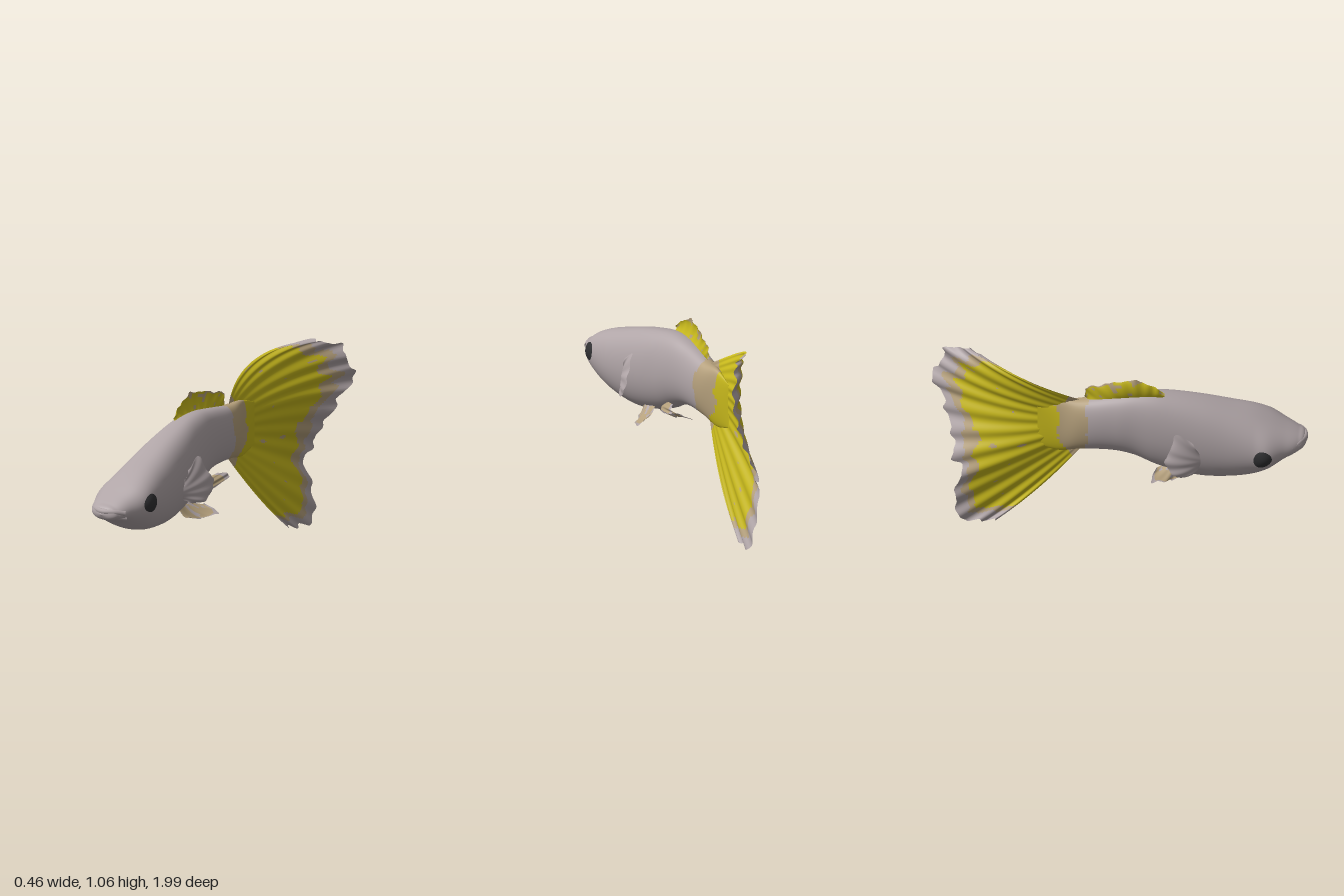
import * as THREE from 'three';
import { mergeVertices } from 'three/addons/utils/BufferGeometryUtils.js';

const paint = (name, color) => {
  const m = new THREE.MeshStandardMaterial({ color, side: THREE.DoubleSide });
  m.name = name;
  return m;
};

// Smooth value noise, 0..1
const hash = (i, j) => { const v = Math.sin(i * 127.1 + j * 311.7) * 43758.5453; return v - Math.floor(v); };
function noise(x, y) {
  const i = Math.floor(x), j = Math.floor(y);
  const f = THREE.MathUtils.smoothstep(x - i, 0, 1), g = THREE.MathUtils.smoothstep(y - j, 0, 1);
  const mix = THREE.MathUtils.lerp;
  return mix(mix(hash(i, j), hash(i + 1, j), f), mix(hash(i, j + 1), hash(i + 1, j + 1), f), g);
}

// Surface from point(u, v); pick(u, v, p) gives the material index of each cell
function surface(name, point, nu, nv, mats, pick = () => 0) {
  const pos = [], cells = mats.map(() => []), w = nv + 1;
  for (let i = 0; i <= nu; i++) for (let j = 0; j <= nv; j++) pos.push(...point(i / nu, j / nv).toArray());
  for (let i = 0; i < nu; i++) for (let j = 0; j < nv; j++) {
    const a = i * w + j, b = a + 1, c = a + w, d = c + 1;
    const u = (i + 0.5) / nu, v = (j + 0.5) / nv;
    cells[pick(u, v, point(u, v))].push(a, b, c, b, d, c);
  }
  let g = new THREE.BufferGeometry();
  g.setAttribute('position', new THREE.Float32BufferAttribute(pos, 3));
  g.setIndex(cells.flat());
  g = mergeVertices(g, 1e-5);
  let start = 0;
  cells.forEach((c, k) => { if (c.length) g.addGroup(start, c.length, k); start += c.length; });
  g.computeVertexNormals();
  const mesh = new THREE.Mesh(g, mats);
  mesh.name = name;
  return mesh;
}

// Body sections: z, centre x, half width, widest y, top y, bottom y, roll
const SECTIONS = [
  [-0.42, -0.055, 0.003, 0.68, 0.80, 0.56, 0],
  [-0.30, -0.05, 0.035, 0.68, 0.845, 0.53, 0],
  [-0.20, -0.05, 0.07, 0.70, 0.85, 0.55, 0],
  [0.00, -0.045, 0.095, 0.71, 0.885, 0.553, 0],
  [0.10, -0.035, 0.108, 0.70, 0.90, 0.525, 0],
  [0.20, -0.025, 0.125, 0.67, 0.90, 0.475, 0],
  [0.30, -0.012, 0.142, 0.65, 0.885, 0.44, 0.02],
  [0.45, 0.005, 0.16, 0.62, 0.85, 0.408, 0.06],
  [0.60, 0.022, 0.172, 0.60, 0.805, 0.413, 0.1],
  [0.72, 0.033, 0.176, 0.60, 0.765, 0.438, 0.14],
  [0.80, 0.035, 0.174, 0.60, 0.73, 0.48, 0.14],
  [0.88, 0.04, 0.135, 0.60, 0.69, 0.53, 0.1],
  [0.95, 0.045, 0.095, 0.60, 0.655, 0.562, 0.06],
  [0.985, 0.05, 0.055, 0.605, 0.635, 0.58, 0.03],
  [1.00, 0.05, 0, 0.607, 0.607, 0.607, 0],
];
const spline = new THREE.CubicInterpolant(SECTIONS.map(s => s[0]), SECTIONS.flatMap(s => s.slice(1)), 6, new Float32Array(6));
function bodyPoint(z, a) {
  const [cx, hw, cy, top, bottom, roll] = spline.evaluate(z);
  const c = Math.cos(a), s = Math.sin(a);
  const dx = hw * Math.sign(c) * Math.abs(c) ** 0.82;
  const dy = s * (s > 0 ? top - cy : cy - bottom);
  return new THREE.Vector3(cx + dx, cy + dy + roll * dx, z);
}

// Fin spread from a base line to a tip line, with bend added midway
const curve = pts => new THREE.CatmullRomCurve3(pts.map(p => new THREE.Vector3(...p)));
function fin(name, base, bend, tip, mats, opt = {}) {
  const { folds = 8, depth = 0.004, ragged = 0.02, thick = 0, ns = 40, nt = 12, pick } = opt;
  const B = curve(base), M = curve(bend), T = curve(tip), group = new THREE.Group();
  group.name = name;
  for (const side of thick ? [1, -1] : [0]) {
    const point = (s, t) => {
      const reach = t * (1 + ragged * t ** 4 * (noise(s * folds * 3, 5) * 2 - 1.4));
      const p = B.getPoint(s).lerp(T.getPoint(s), reach);
      p.addScaledVector(M.getPoint(s), 4 * t * (1 - t));
      p.x += depth * t * Math.sin(s * folds * Math.PI * 2) + side * thick * (1 - t) * Math.sin(Math.PI * s) ** 0.5;
      return p;
    };
    group.add(surface(name + 'Sheet', point, ns, nt, mats, pick));
  }
  return group;
}

export function createModel() {
  const grey = paint('silver grey', 0xb0a5a7), yellow = paint('yellow', 0xc8b91c);
  const tan = paint('tan', 0xb5a07c), dark = paint('eye black', 0x303032);
  const fish = new THREE.Group();
  fish.name = 'fish';

  // Body, with the tail root tinted in ragged bands
  fish.add(surface('body',
    (u, v) => bodyPoint(-0.42 + 1.42 * Math.sin(u * Math.PI / 2), v * Math.PI * 2),
    130, 56, [grey, tan, yellow],
    (u, v, p) => {
      const z = p.z + 0.05 * (noise(p.y * 22, p.x * 9) - 0.5);
      return z > -0.15 ? 0 : z > -0.31 + 0.9 * Math.max(0, 0.62 - p.y) ? 1 : 2;
    }));

  // Eyes: thin discs lying on the head
  [['leftEye', 0.12, 1], ['rightEye', Math.PI + 0.02, -1]].forEach(([name, angle, side]) => {
    fish.add(surface(name, (u, v) => {
      const a = v * Math.PI * 2, r = 0.048 * u;
      const p = bodyPoint(0.775 + r * Math.cos(a), angle + r * Math.sin(a) / 0.135);
      p.x += side * (0.002 + 0.006 * (1 - u * u));
      return p;
    }, 6, 28, [dark]));
  });

  // Lips
  [['upperLip', 0.622, 0.985, 0.015], ['lowerLip', 0.59, 0.972, 0.013]].forEach(([name, y, z, r]) => {
    const path = curve([[-0.055, y - 0.02, z - 0.065], [-0.01, y - 0.004, z - 0.022], [0.05, y, z],
      [0.11, y + 0.002, z - 0.022], [0.15, y - 0.008, z - 0.065]]);
    const lip = new THREE.Mesh(new THREE.TubeGeometry(path, 24, r, 10), grey);
    lip.name = name;
    fish.add(lip);
  });

  // Great fan tail, sweeping towards the left at its upper tip
  fish.add(fin('tailFin',
    [[-0.05, 0.85, -0.2], [-0.05, 0.7, -0.22], [-0.05, 0.55, -0.19]],
    [[-0.09, 0.035, 0], [-0.09, 0.01, 0], [-0.05, 0, 0], [0, -0.01, 0], [0.015, -0.035, 0]],
    [[0, 1.06, -0.72], [0.06, 1.075, -0.8], [0.11, 1.055, -0.88], [0.16, 0.96, -0.96], [0.172, 0.86, -1.0],
      [0.13, 0.74, -0.965], [0.07, 0.6, -0.925], [0, 0.47, -0.88], [-0.04, 0.34, -0.84], [-0.01, 0.17, -0.865],
      [0.01, 0.045, -0.83], [0.01, 0, -0.74], [0, 0.04, -0.64]],
    [yellow, tan, grey],
    {
      folds: 13, depth: 0.009, ragged: 0.045, ns: 156, nt: 60,
      pick: (s, t) => {
        const corner = 0.07 * Math.max(0, Math.abs(s - 0.5) * 2 - 0.5) * 2;
        const e = t + corner + 0.14 * (noise(s * 30, t * 5) - 0.5);
        if (e > 0.9) return 2;
        if (e > 0.83 || t < 0.1) return 1;
        const streak = noise(s * 34 + 9, t * 9 + 40);
        return t > 0.35 && streak > 0.86 ? 1 : 0;
      },
    }));

  // Dorsal fin
  fish.add(fin('dorsalFin',
    [[-0.05, 0.885, 0.25], [-0.06, 0.88, 0.05], [-0.06, 0.85, -0.15]],
    [[-0.008, 0, 0], [-0.012, 0, 0], [0.008, 0, 0]],
    [[-0.055, 0.91, 0.25], [-0.065, 0.965, 0.19], [-0.072, 1.0, 0.1], [-0.07, 0.985, 0], [-0.06, 0.955, -0.08],
      [-0.055, 0.935, -0.165], [-0.055, 0.87, -0.17]],
    [yellow, tan],
    { thick: 0.012, ragged: 0.08, pick: (s, t) => (noise(s * 14, t * 4 + 3) > 0.82 || (t > 0.9 && s > 0.6) ? 1 : 0) }));

  // Pectoral and pelvic fins, mirrored in pairs; the right ones sit a little lower
  for (const [side, m, drop] of [['left', 1, 0], ['right', -1, -0.035]]) {
    const place = pts => pts.map(([x, y, z]) => [x * m, y + drop, z]);
    fish.add(fin(side + 'PectoralFin',
      place([[0.15, 0.65, 0.44], [0.155, 0.6, 0.45], [0.15, 0.55, 0.44]]),
      [[0.012 * m, 0, 0], [0.015 * m, 0, 0], [0.012 * m, 0, 0]],
      place([[0.165, 0.71, 0.41], [0.165, 0.765, 0.32], [0.195, 0.7, 0.285], [0.22, 0.64, 0.265],
        [0.23, 0.575, 0.28], [0.225, 0.53, 0.33], [0.185, 0.525, 0.4]]),
      [grey], { thick: 0.01, folds: 5, ragged: 0.05 }));
    const low = pts => pts.map(([x, y, z]) => [x * m + (m < 0 ? 0.07 : 0), y + drop * 0.4, z]);
    fish.add(fin(side + 'PelvicFin',
      low([[0.07, 0.46, 0.37], [0.075, 0.47, 0.31], [0.06, 0.475, 0.26]]),
      [[0, -0.012, 0], [0, -0.01, 0]],
      low([[0.11, 0.41, 0.35], [0.15, 0.395, 0.29], [0.205, 0.4, 0.23], [0.18, 0.42, 0.18], [0.12, 0.45, 0.2]]),
      [tan, grey], { thick: 0.008, folds: 4, ragged: 0.12, pick: (s, t) => (t > 0.85 || noise(s * 6, t * 4) > 0.75 ? 1 : 0) }));
  }

  // Slender anal fin trailing below the belly
  fish.add(fin('analFin',
    [[0.02, 0.52, 0.19], [0.03, 0.49, 0.21], [0.045, 0.465, 0.2]],
    [[0.005, 0.005, 0], [0.01, 0, 0]],
    [[0.06, 0.56, 0.03], [0.09, 0.555, -0.01], [0.095, 0.535, -0.03], [0.09, 0.515, 0.02]],
    [tan, grey], { thick: 0.014, folds: 3, pick: (s, t) => (t > 0.8 || s > 0.75 ? 1 : 0) }));

  return fish;
}
